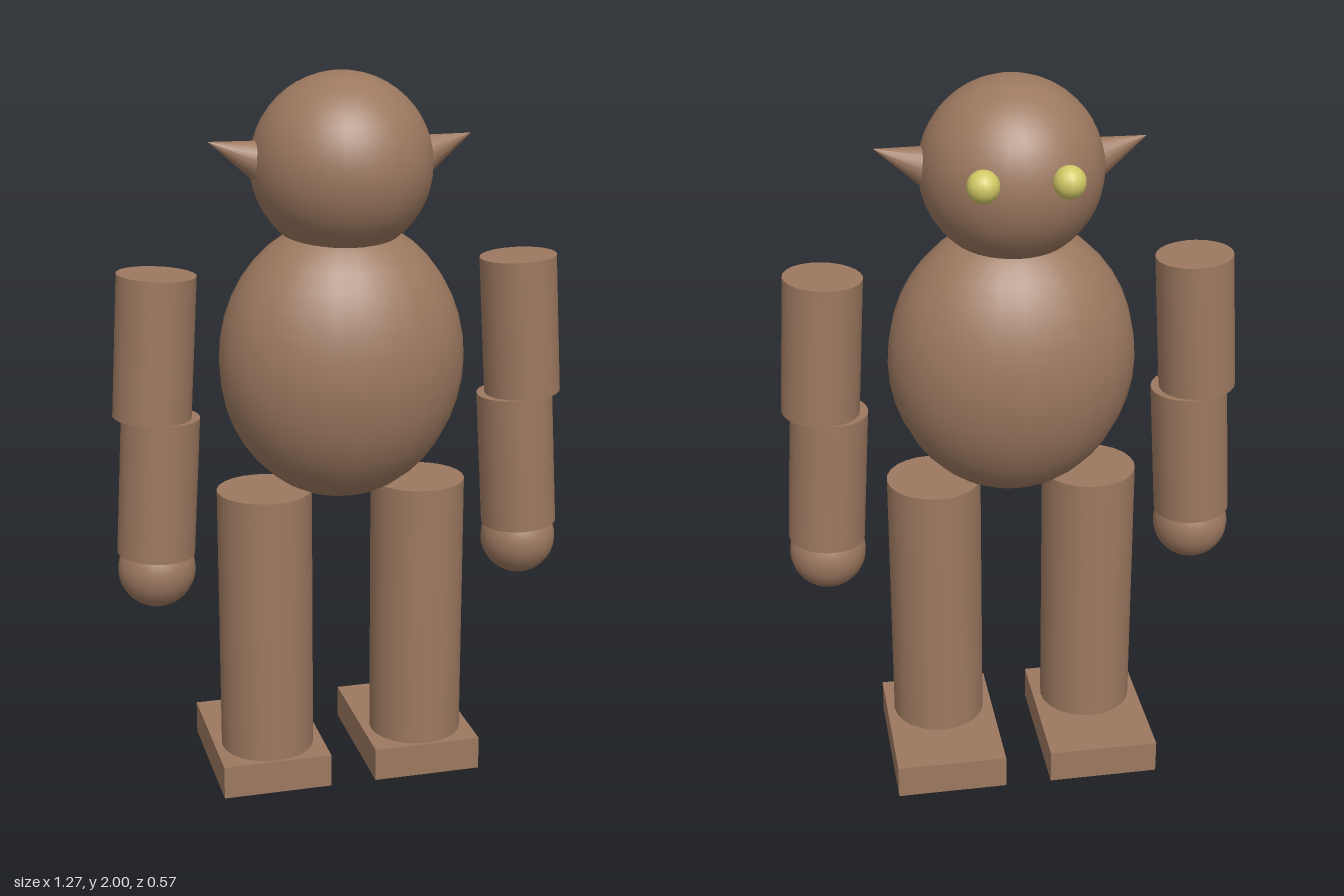
import * as THREE from 'three';

export function createModel() {
  const model = new THREE.Group();
  model.name = 'creature';
  const fur = new THREE.MeshStandardMaterial({ name: 'brown fur', color: 0x9c785f });
  const glow = new THREE.MeshStandardMaterial({ name: 'yellow eye', color: 0xd2c966 });
  const Z = 0.012; // depth of the body axis

  const add = (name, geometry, material, x, y, z) => {
    const mesh = new THREE.Mesh(geometry, material);
    mesh.name = name;
    mesh.position.set(x, y, z);
    model.add(mesh);
    return mesh;
  };

  // Cylinder between two points in the x-y plane
  const limb = (name, radius, x0, y0, x1, y1) => {
    const dx = x1 - x0, dy = y1 - y0;
    const mesh = add(name, new THREE.CylinderGeometry(radius, radius, Math.hypot(dx, dy), 24),
      fur, (x0 + x1) / 2, (y0 + y1) / 2, Z);
    mesh.rotation.z = Math.atan2(dx, -dy);
    return mesh;
  };

  // Egg-shaped body and round head
  add('body', new THREE.SphereGeometry(1, 24, 20), fur, 0, 1.223, Z).scale.set(0.34, 0.39, 0.272);
  add('head', new THREE.SphereGeometry(0.245, 32, 24), fur, 0, 1.755, Z);

  for (const [side, s] of [['left', 1], ['right', -1]]) {
    // Eyes on the far (-z) side of the head
    add(side + 'Eye', new THREE.SphereGeometry(0.043, 16, 12), glow, s * 0.109, 1.787, -0.219);

    // Pointed ear, tilted upwards
    const tilt = 0.367, length = 0.147;
    const ear = add(side + 'Ear', new THREE.ConeGeometry(0.055, length, 16), fur,
      s * (0.36 - Math.cos(tilt) * length / 2), 1.825 - Math.sin(tilt) * length / 2, Z);
    ear.rotation.z = -s * (Math.PI / 2 - tilt);

    // Arm in two segments, each leaning outwards, with a ball hand
    limb(side + 'UpperArm', 0.107, s * 0.504, 1.483, s * 0.527, 1.094);
    limb(side + 'Forearm', 0.107, s * 0.504, 1.094, s * 0.527, 0.706);
    add(side + 'Hand', new THREE.SphereGeometry(0.107, 24, 16), fur, s * 0.526, 0.659, Z);

    // Straight leg in two segments on a flat foot
    limb(side + 'Thigh', 0.132, s * 0.221, 0.862, s * 0.221, 0.471);
    limb(side + 'Shin', 0.132, s * 0.221, 0.471, s * 0.221, 0.09);
    add(side + 'Foot', new THREE.BoxGeometry(0.31, 0.095, 0.438), fur, s * 0.22, 0.0475, -0.068);
  }
  return model;
}
